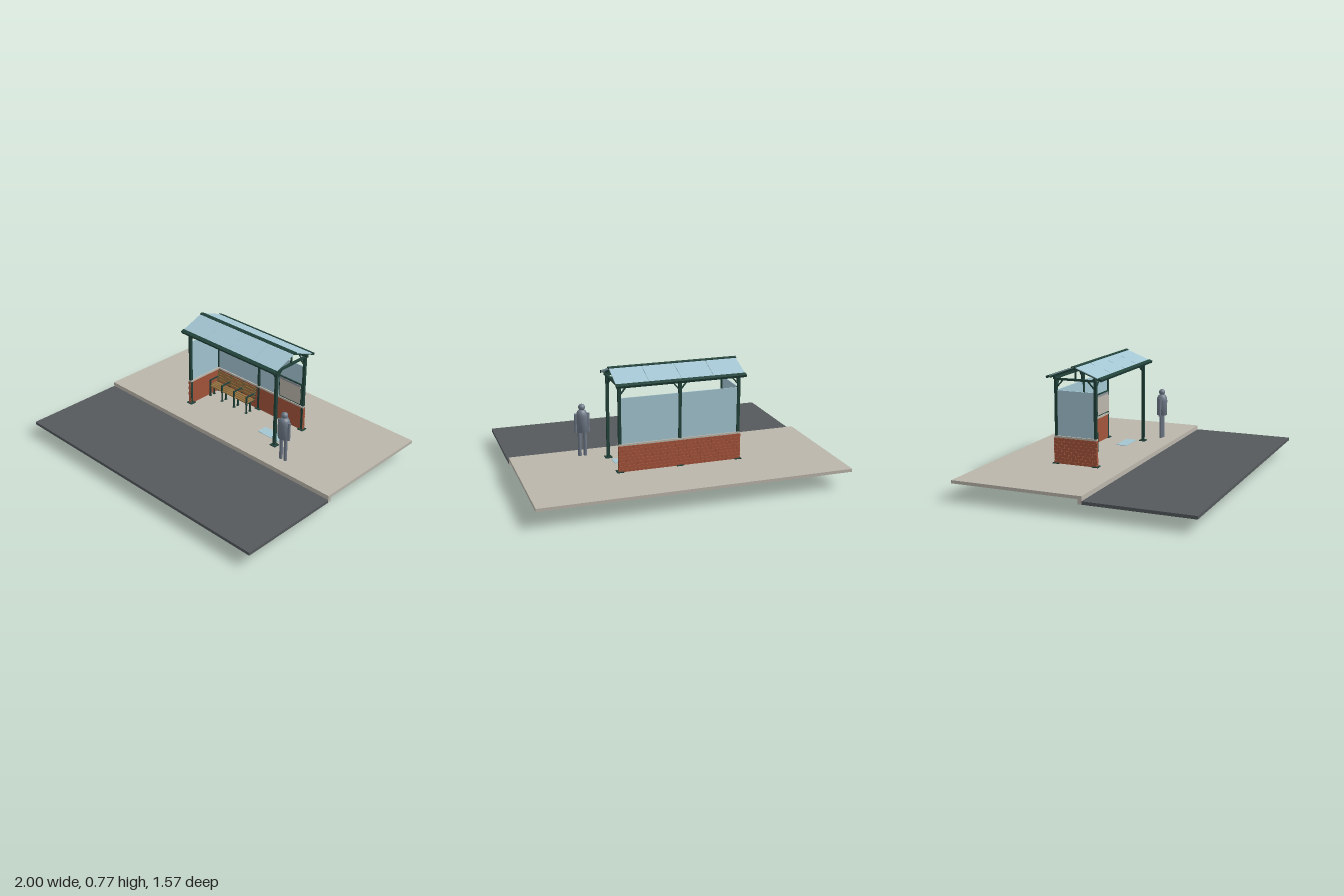
import * as THREE from 'three';
import { mergeGeometries } from 'three/addons/utils/BufferGeometryUtils.js';

const mat = (name, color, extra = {}) => new THREE.MeshStandardMaterial({ name, color, ...extra });

export function createModel() {
  const concrete = mat('concrete', 0xbab6ab);
  const asphalt = mat('asphalt', 0x55595c);
  const green = mat('dark green steel', 0x22423a);
  const brick = mat('brick', 0xa3543a);
  const glass = mat('pale blue glass', 0xa3c6d2, { side: THREE.DoubleSide });
  const wood = mat('bench wood', 0x93703f);
  const figureGray = mat('figure gray', 0x6f7a88);
  const boardGray = mat('board gray', 0x8d949b);

  const model = new THREE.Group();
  model.name = 'busShelter';
  const group = (name) => {
    const g = new THREE.Group();
    g.name = name;
    model.add(g);
    return g;
  };
  const add = (parent, name, geo, m) => {
    const mesh = new THREE.Mesh(geo, m);
    mesh.name = name;
    parent.add(mesh);
    return mesh;
  };
  // box given by its limits on each axis
  const boxGeo = (x0, x1, y0, y1, z0, z1) =>
    new THREE.BoxGeometry(x1 - x0, y1 - y0, z1 - z0).translate((x0 + x1) / 2, (y0 + y1) / 2, (z0 + z1) / 2);
  const box = (parent, name, m, ...lim) => add(parent, name, boxGeo(...lim), m);
  // square bar between two points
  const bar = (parent, name, a, b, w, m = green) => {
    const p = new THREE.Vector3(...a), q = new THREE.Vector3(...b);
    const mesh = add(parent, name, new THREE.BoxGeometry(w, w, p.distanceTo(q)), m);
    mesh.position.copy(p).add(q).multiplyScalar(0.5);
    mesh.lookAt(q);
    return mesh;
  };

  const G = 0.13, zF = -0.108, zB = -0.382, zM = -0.245, X = 0.39;

  // ground
  const ground = group('ground');
  box(ground, 'pavement', concrete, -1, 1, 0.11, G, -0.785, 0.06);
  box(ground, 'kerb', concrete, -1, 1, 0.08, G, 0.06, 0.085);
  box(ground, 'road', asphalt, -1, 1, 0.08, 0.1, 0.085, 0.785);
  box(ground, 'floorPanel', glass, 0.2, 0.38, G, G + 0.003, -0.23, -0.155);

  // posts with base plates and footings
  const frame = group('frame');
  const posts = [[-X, zF], [X, zF], [-X, zB], [0, zB], [X, zB]];
  for (const [x, z] of posts) {
    box(ground, 'footing', concrete, x - 0.05, x + 0.05, 0, 0.11, z - 0.05, z + 0.05);
    box(frame, 'post', green, x - 0.009, x + 0.009, G, 0.685, z - 0.009, z + 0.009);
    box(frame, 'basePlate', green, x - 0.022, x + 0.022, G, G + 0.006, z - 0.022, z + 0.022);
    // knee braces along x and z
    for (const s of [-1, 1]) {
      if (x * s <= 0) bar(frame, 'kneeBrace', [x, 0.62, z], [x + s * 0.048, 0.678, z], 0.008);
    }
    if (x) bar(frame, 'kneeBrace', [x, 0.62, z], [x, 0.675, z + (z === zF ? -0.05 : 0.05)], 0.008);
  }
  for (const z of [zF, zB]) box(frame, 'topBeam', green, -0.41, 0.41, 0.68, 0.698, z - 0.009, z + 0.009);

  // roof trusses
  const roof = group('roof');
  const ridgeY = 0.758, eaveY = 0.69, half = 0.178;
  for (const x of [-X, 0, X]) {
    box(roof, 'tieBeam', green, x - 0.008, x + 0.008, 0.672, 0.685, zB, zF);
    box(roof, 'kingPost', green, x - 0.005, x + 0.005, 0.68, ridgeY, zM - 0.005, zM + 0.005);
    for (const s of [-1, 1]) bar(roof, 'rafter', [x, ridgeY - 0.006, zM], [x, eaveY - 0.003, zM + s * half], 0.011);
  }
  // glazed slopes, four panes each, with edge beams and ridge cap
  const tilt = Math.atan2(ridgeY - eaveY, half), slope = Math.hypot(ridgeY - eaveY, half);
  for (const s of [-1, 1]) {
    for (let i = 0; i < 4; i++) {
      const pane = add(roof, 'roofPane', new THREE.BoxGeometry(0.207, 0.005, slope), glass);
      pane.position.set(-0.3135 + i * 0.209, (ridgeY + eaveY) / 2 + 0.007, zM + s * half / 2);
      pane.rotation.x = s * tilt;
    }
    const eave = add(roof, 'eaveBeam', new THREE.BoxGeometry(0.84, 0.016, 0.026), green);
    eave.position.set(0, eaveY + 0.004, zM + s * (half + 0.002));
    eave.rotation.x = s * tilt;
    const cap = add(roof, 'ridgeCap', new THREE.BoxGeometry(0.84, 0.008, 0.017), green);
    cap.position.set(0, ridgeY + 0.007, zM + s * 0.007);
    cap.rotation.x = s * tilt;
  }

  // low brick walls: smooth inside, raised bricks outside and on the ends
  const walls = group('walls');
  const top = 0.3, inner = 0.008, rows = 8, rowH = (top - G) / rows, relief = 0.004;
  box(walls, 'backWall', brick, -X - 0.01, X + 0.006, G, top, zB - 0.01, zB + inner);
  box(walls, 'sideWall', brick, -X - 0.01, -X + inner, G, top, zB, zF + 0.008);
  const bricks = [];
  for (let r = 0; r < rows; r++) {
    const y0 = G + r * rowH + 0.0015, y1 = G + (r + 1) * rowH - 0.0015;
    // one running course cut to fit between two ends
    const course = (from, to, put) => {
      const n = 0.049;
      for (let a = from - (r % 2) * n / 2; a < to; a += n) {
        const lo = Math.max(a, from), hi = Math.min(a + n - 0.003, to);
        if (hi - lo > 0.004) bricks.push(put(lo, hi));
      }
    };
    course(-X - 0.014, X + 0.01, (a, b) => boxGeo(a, b, y0, y1, zB - 0.01 - relief, zB - 0.008));
    course(zB - 0.01, zF + 0.012, (a, b) => boxGeo(-X - 0.01 - relief, -X - 0.008, y0, y1, a, b));
    bricks.push(boxGeo(X + 0.004, X + 0.006 + relief, y0, y1, zB - 0.01, zB + inner));
    bricks.push(boxGeo(-X - 0.01, -X + inner, y0, y1, zF + 0.006, zF + 0.008 + relief));
  }
  add(walls, 'raisedBricks', mergeGeometries(bricks), brick);
  box(walls, 'backCoping', concrete, -X - 0.012, X + 0.01, top, 0.312, zB - 0.012, zB + 0.012);
  box(walls, 'sideCoping', concrete, -X - 0.012, -X + 0.012, top, 0.312, zB, zF + 0.01);

  // wall glazing
  for (const s of [-1, 1])
    box(walls, 'backPane', glass, s * 0.195 - 0.184, s * 0.195 + 0.184, 0.312, 0.605, zB - 0.003, zB + 0.003);
  box(walls, 'sidePane', glass, -X - 0.003, -X + 0.003, 0.312, 0.605, zB + 0.01, zF - 0.01);

  // notice board
  const board = group('noticeBoard');
  box(board, 'boardFrame', green, 0.19, 0.385, 0.318, 0.474, zB + 0.004, zB + 0.014);
  box(board, 'boardSheet', concrete, 0.198, 0.377, 0.326, 0.452, zB + 0.013, zB + 0.017);
  box(board, 'boardHeader', boardGray, 0.198, 0.377, 0.452, 0.466, zB + 0.013, zB + 0.017);

  // bench with four iron frames
  const bench = group('bench');
  for (const x of [-0.365, -0.249, -0.133, -0.017]) {
    const w = 0.0045;
    for (const z of [-0.272, -0.31]) {
      box(bench, 'benchLeg', green, x - w, x + w, G, 0.207, z - w, z + w);
      box(bench, 'benchFoot', green, x - 0.008, x + 0.008, G, G + 0.004, z - 0.009, z + 0.009);
    }
    box(bench, 'seatBearer', green, x - w, x + w, 0.2, 0.208, -0.345, -0.265);
    box(bench, 'armrest', green, x - w, x + w, 0.25, 0.258, -0.352, -0.267);
    box(bench, 'armPost', green, x - w, x + w, 0.205, 0.252, -0.276, -0.267);
    bar(bench, 'backBearer', [x, 0.2, -0.345], [x, 0.298, -0.368], 0.008);
  }
  for (let i = 0; i < 4; i++) {
    const z = -0.276 - i * 0.02;
    box(bench, 'seatSlat', wood, -0.372, -0.01, 0.208, 0.215, z - 0.008, z + 0.008);
    const slat = add(bench, 'backSlat', new THREE.BoxGeometry(0.362, 0.014, 0.006), wood);
    slat.position.set(-0.191, 0.232 + i * 0.019, -0.346 - i * 0.0045);
    slat.rotation.x = -0.23;
  }

  // standing figure
  const figure = group('figure');
  figure.position.set(0.538, 0, -0.024);
  const part = (name, geo, x, y) => add(figure, name, geo, figureGray).position.set(x, y, 0);
  const coat = [[0, 0.295], [0.037, 0.295], [0.037, 0.4], [0.034, 0.42], [0.026, 0.434], [0.012, 0.443], [0, 0.445]];
  part('torso', new THREE.LatheGeometry(coat.map(([r, y]) => new THREE.Vector2(r, y)), 24), 0, 0);
  part('head', new THREE.SphereGeometry(0.022, 20, 14), 0, 0.457);
  for (const s of [-1, 1]) {
    part('leg', new THREE.CylinderGeometry(0.0115, 0.0115, 0.167, 14), s * 0.018, G + 0.0835);
    part('arm', new THREE.CylinderGeometry(0.0095, 0.0095, 0.125, 14), s * 0.041, 0.353);
  }
  return model;
}
